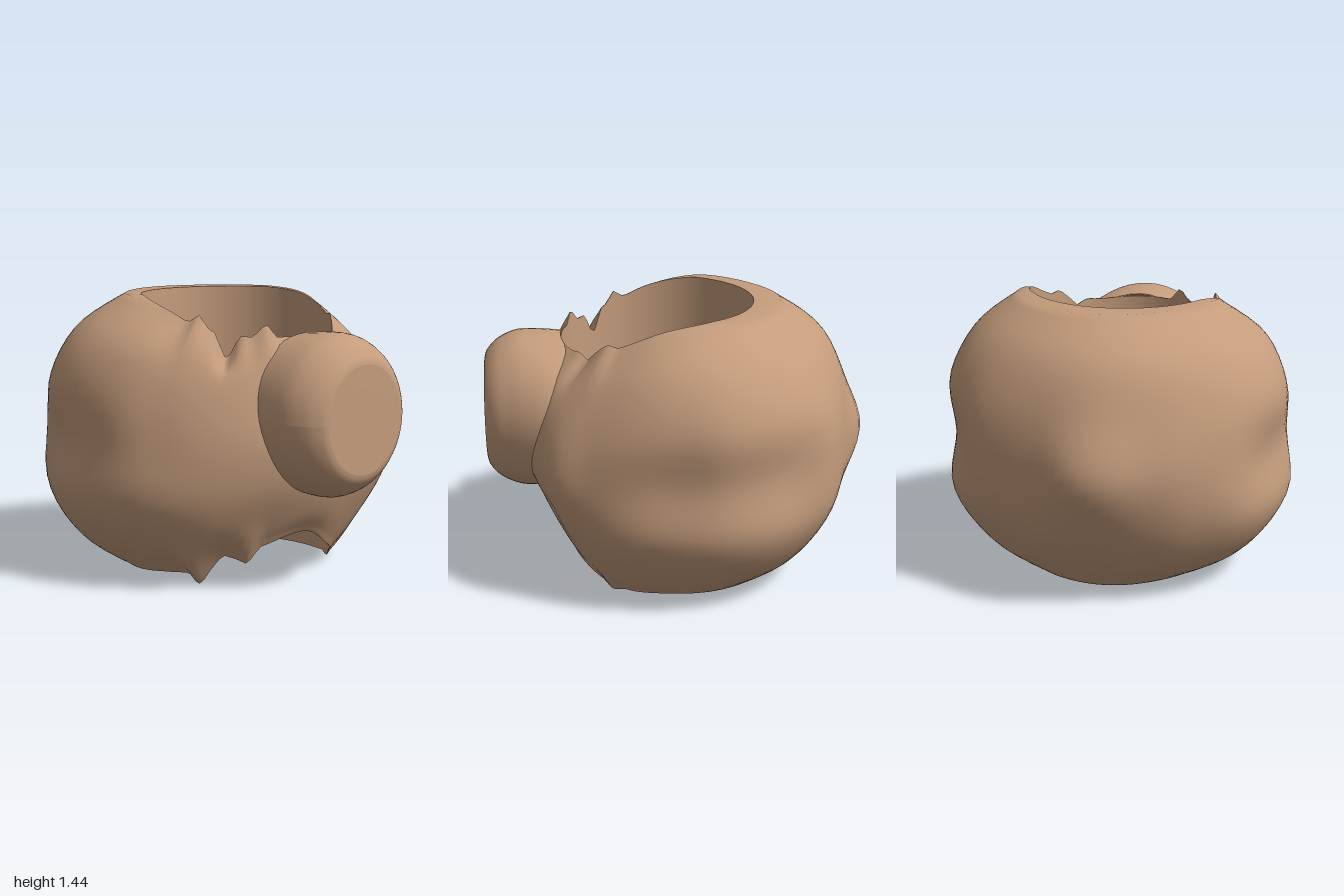
import * as THREE from 'three';

const HOLE_X = 0.1, HOLE_Z = -0.025, HOLE_R = 0.5, SEG = 120, ROWS = 28;
const LEVELS = [0, 0.12, 0.3, 0.5, 0.7, 0.88, 1];

// Wall sections every 30 degrees from +x towards +z: bottom, top, outer radius at each level
const SECTIONS = [
  [0.25, 1.26, 0.5, 0.59, 0.66, 0.68, 0.66, 0.61, 0.5],
  [0.20, 1.26, 0.5, 0.58, 0.67, 0.70, 0.66, 0.59, 0.5],
  [0.08, 1.29, 0.5, 0.64, 0.74, 0.75, 0.71, 0.63, 0.5],
  [0.03, 1.39, 0.5, 0.72, 0.87, 0.87, 0.85, 0.74, 0.5],
  [0, 1.44, 0.56, 0.82, 0.98, 0.94, 0.97, 0.83, 0.57],
  [0, 1.44, 0.60, 0.84, 0.99, 1.03, 0.98, 0.85, 0.60],
  [0, 1.44, 0.64, 0.81, 0.985, 1.10, 1.00, 0.87, 0.64],
  [0, 1.44, 0.62, 0.83, 0.98, 1.00, 0.98, 0.85, 0.62],
  [0, 1.44, 0.57, 0.80, 0.96, 0.93, 0.95, 0.81, 0.58],
  [0, 1.41, 0.51, 0.70, 0.85, 0.83, 0.85, 0.74, 0.52],
  [0.02, 1.31, 0.5, 0.64, 0.78, 0.82, 0.79, 0.67, 0.5],
  [0.12, 1.25, 0.5, 0.58, 0.68, 0.77, 0.75, 0.65, 0.5],
];

// Broken rim: angle in degrees, height change
const TOP_CHIPS = [[66, 0.06], [50, -0.13], [28, 0.07], [318, -0.04], [304, 0.03]];
const BOTTOM_CHIPS = [[66, -0.08], [52, 0.05], [38, -0.06], [302, -0.03]];

// Lumps: angle, level, radius change
const LUMPS = [[137, 0.45, 0.03], [165, 0.5, -0.025], [195, 0.5, -0.035], [217, 0.5, 0.04],
  [311, 0.5, 0.04], [100, 0.3, 0.015], [75, 0.62, -0.015], [255, 0.6, 0.015]];

function cubic(a, b, c, d, t) {
  return b + 0.5 * t * (c - a + t * (2 * a - 5 * b + 4 * c - d + t * (3 * (b - c) + d - a)));
}

// Smooth lookup in a list, clamped at its ends
function along(list, u) {
  const i = Math.min(Math.floor(u), list.length - 2);
  const at = k => list[Math.max(0, Math.min(list.length - 1, k))];
  return cubic(at(i - 1), at(i), at(i + 1), at(i + 2), u - i);
}

// Blended wall section at one angle
function sectionAt(deg) {
  const u = deg / 30, i = Math.floor(u), n = SECTIONS.length;
  const at = k => SECTIONS[(k + n) % n];
  return at(0).map((_, c) => cubic(at(i - 1)[c], at(i)[c], at(i + 1)[c], at(i + 2)[c], u - i));
}

function chips(list, deg) {
  return list.reduce((sum, [a, h]) => sum + h * Math.max(0, 1 - Math.abs(deg - a) / 7), 0);
}

// Outer wall point: radius and height at angle and level
function outer(deg, v) {
  const [bottom, top, ...radii] = sectionAt(deg);
  const u = v * (LEVELS.length - 1);
  const t = THREE.MathUtils.clamp(along(LEVELS, u), 0, 1);
  const lump = LUMPS.reduce((sum, [a, l, h]) =>
    sum + h * Math.exp(-(((deg - a) / 9) ** 2) - ((t - l) / 0.2) ** 2), 0);
  const radius = Math.max(HOLE_R + 0.005, along(radii, u) + lump);
  let y = bottom + (top - bottom) * t;
  y += chips(TOP_CHIPS, deg) * THREE.MathUtils.smoothstep(t, 0.8, 1);
  y += chips(BOTTOM_CHIPS, deg) * (1 - THREE.MathUtils.smoothstep(t, 0, 0.2));
  return [radius, THREE.MathUtils.clamp(y, 0, 1.44)];
}

// Closed band around the hole; point(deg, row) gives radius and height
function band(rows, point) {
  const pos = [], index = [];
  for (let j = 0; j <= rows; j++) {
    for (let i = 0; i < SEG; i++) {
      const deg = i * 360 / SEG, a = THREE.MathUtils.degToRad(deg);
      const [r, y] = point(deg, j);
      pos.push(HOLE_X + r * Math.cos(a), y, HOLE_Z + r * Math.sin(a));
      if (j === rows) continue;
      const p = j * SEG + i, q = j * SEG + (i + 1) % SEG;
      index.push(p, p + SEG, q, q, p + SEG, q + SEG);
    }
  }
  const g = new THREE.BufferGeometry();
  g.setAttribute('position', new THREE.Float32BufferAttribute(pos, 3));
  g.setIndex(index);
  g.computeVertexNormals();
  return g;
}

// Side knob: turned around the x axis, flaring towards the back where it meets the wall
function knobGeometry() {
  const profile = [[0.52, 0.39], [0.62, 0.4], [0.74, 0.41], [0.84, 0.405], [0.93, 0.365], [0.985, 0.31], [1, 0.27]];
  const curve = new THREE.SplineCurve(profile.map(([x, r]) => new THREE.Vector2(r, x)));
  const g = new THREE.LatheGeometry([...curve.getPoints(30), new THREE.Vector2(0, 1)], 48);
  g.rotateZ(-Math.PI / 2);
  const p = g.attributes.position;
  for (let i = 0; i < p.count; i++) {
    let x = p.getX(i), z = p.getZ(i) * 0.96;
    const side = THREE.MathUtils.clamp(-z / 0.4, 0, 1);
    z -= 0.02 + 0.09 * side * (1 - THREE.MathUtils.smoothstep(x, 0.6, 0.9));
    const dz = z - HOLE_Z, min = HOLE_R + 0.004;
    if (Math.hypot(x - HOLE_X, dz) < min) x = HOLE_X + Math.sqrt(min * min - dz * dz);
    p.setXYZ(i, x, 0.875 + p.getY(i), z);
  }
  g.computeVertexNormals();
  return g;
}

export function createModel() {
  const group = new THREE.Group();
  const clay = new THREE.MeshStandardMaterial({ color: 0xc49c7c });
  clay.name = 'clay brown';
  clay.side = THREE.DoubleSide;
  const add = (name, geometry) => {
    const mesh = new THREE.Mesh(geometry, clay);
    mesh.name = name;
    group.add(mesh);
  };

  // Outer wall with softly rounded rims that run in to the hole
  add('outerWall', band(ROWS + 2, (deg, j) => {
    const row = THREE.MathUtils.clamp(j - 1, 0, ROWS);
    const [r, y] = outer(deg, row / ROWS);
    return [row === j - 1 ? r : HOLE_R, y];
  }));
  add('holeWall', band(1, (deg, j) => [HOLE_R, outer(deg, 1 - j)[1]]));
  add('sideKnob', knobGeometry());
  return group;
}
